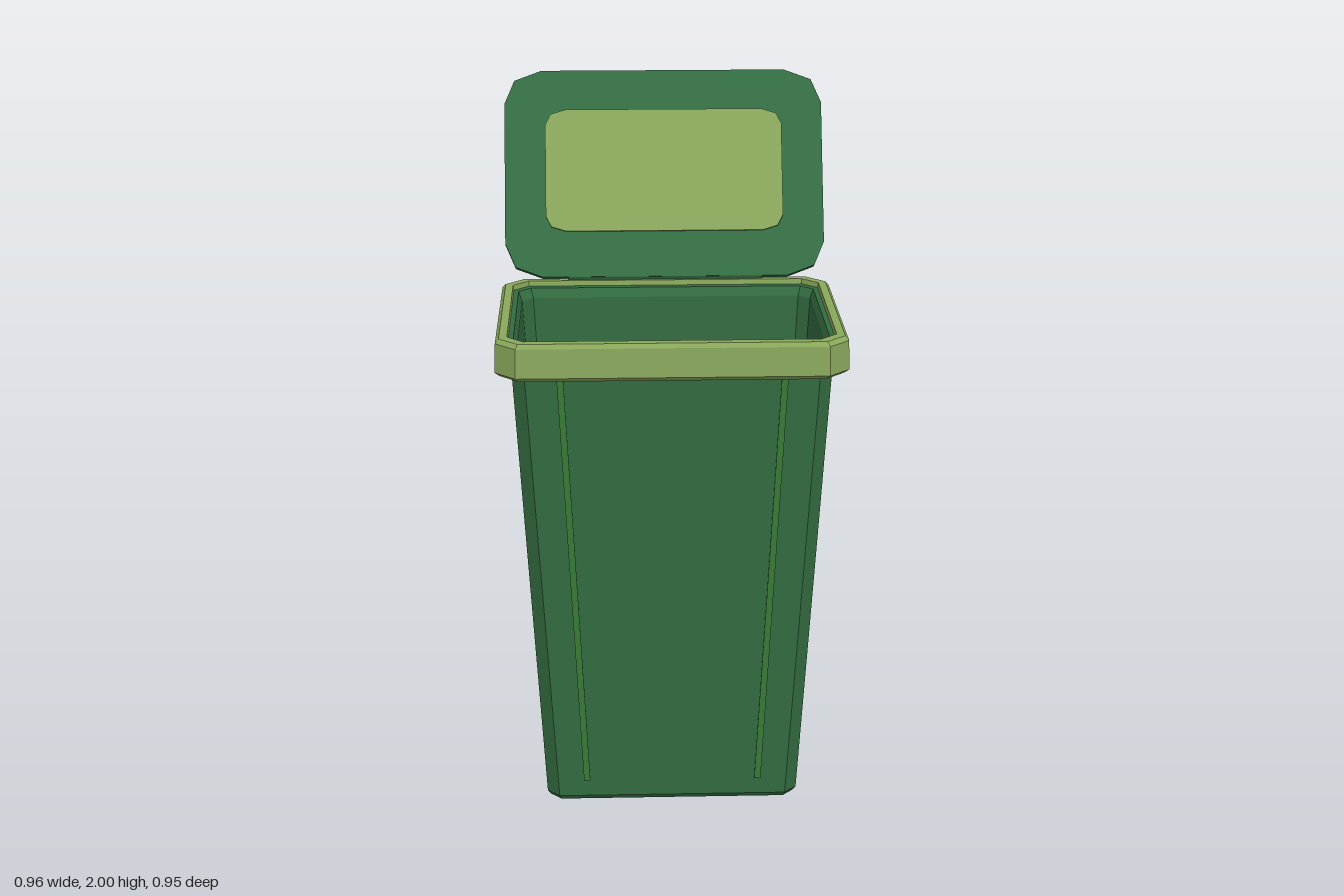
import * as THREE from 'three';

const mat = (color, side = THREE.FrontSide) =>
  new THREE.MeshStandardMaterial({ color, flatShading: true, side });
const GREEN = mat(0x336b40);
const LID_GREEN = mat(0x356f43);
const OLIVE = mat(0x8aa85c);
const RIB = mat(0x377a37);
const DARK = mat(0x234d2e);
const TYRE = mat(0x4a4a4a);
const HUB = mat(0x626262);

function add(parent, name, geometry, material) {
  const mesh = new THREE.Mesh(geometry, material);
  mesh.name = name;
  parent.add(mesh);
  return mesh;
}

// Rectangle with cut corners, running from +x towards +z
function section([y, hx, z0, z1, c]) {
  return [
    [hx, z0 + c], [hx, z1 - c], [hx - c, z1], [c - hx, z1],
    [-hx, z1 - c], [-hx, z0 + c], [c - hx, z0], [hx - c, z0],
  ].map(([x, z]) => [x, y, z]);
}

// Skin a list of [y, halfWidth, zBack, zFront, cornerCut] sections
function loft(sections, capped) {
  const rings = sections.map(section);
  const pos = [];
  const tri = (a, b, c) => pos.push(...a, ...b, ...c);
  for (let r = 0; r < rings.length - 1; r++) {
    const a = rings[r], b = rings[r + 1];
    for (let i = 0; i < 8; i++) {
      const j = (i + 1) % 8;
      tri(a[i], b[i], b[j]);
      tri(a[i], b[j], a[j]);
    }
  }
  if (capped) {
    const first = rings[0], last = rings[rings.length - 1];
    for (let i = 1; i < 7; i++) {
      tri(first[0], first[i], first[i + 1]);
      tri(last[0], last[i + 1], last[i]);
    }
  }
  const g = new THREE.BufferGeometry();
  g.setAttribute('position', new THREE.Float32BufferAttribute(pos, 3));
  g.computeVertexNormals();
  return g;
}

// Plate with two-step cut corners, standing on y = y0
function plate(hx, y0, y1, cx, cy, depth) {
  const corner = [[hx, cy], [hx - cx * 0.27, cy * 0.3], [hx - cx, 0]];
  const pts = [
    ...corner.map(([x, d]) => [x, y1 - d]),
    ...corner.map(([x, d]) => [-x, y1 - d]).reverse(),
    ...corner.map(([x, d]) => [-x, y0 + d]),
    ...corner.map(([x, d]) => [x, y0 + d]).reverse(),
  ].map(([x, y]) => new THREE.Vector2(x, y));
  return new THREE.ExtrudeGeometry(new THREE.Shape(pts), { depth, bevelEnabled: false });
}

export function createModel() {
  const model = new THREE.Group();
  model.name = 'wheeledBin';

  // Tapered hollow body: outside up, over the lip, inside down to the floor
  add(model, 'body', loft([
    [0.045, 0.35, -0.145, 0.43, 0.03],
    [0.06, 0.36, -0.155, 0.44, 0.035],
    [1.33, 0.435, -0.155, 0.44, 0.035],
    [1.4, 0.445, -0.165, 0.436, 0.04],
    [1.415, 0.446, -0.166, 0.437, 0.04],
    [1.415, 0.43, -0.142, 0.412, 0.035],
    [1.39, 0.42, -0.127, 0.398, 0.032],
    [0.1, 0.34, 0.025 - 0.05, 0.3, 0.02],
  ], true), GREEN);

  // Rim band around the mouth
  add(model, 'rim', loft([
    [1.325, 0.43, -0.15, 0.43, 0.035],
    [1.325, 0.468, -0.188, 0.463, 0.055],
    [1.337, 0.48, -0.2, 0.475, 0.057],
    [1.418, 0.478, -0.198, 0.47, 0.056],
    [1.43, 0.468, -0.188, 0.462, 0.053],
    [1.43, 0.446, -0.166, 0.437, 0.045],
    [1.4, 0.442, -0.162, 0.433, 0.04],
    [1.325, 0.43, -0.15, 0.43, 0.035],
  ], false), OLIVE);

  // Slanted ribs on the front, following the taper
  for (const s of [-1, 1]) {
    const rib = new THREE.BoxGeometry(0.018, 1.22, 0.012);
    const p = rib.attributes.position;
    for (let i = 0; i < p.count; i++) {
      p.setX(i, p.getX(i) + s * (0.275 + p.getY(i) * 0.049));
    }
    add(model, s > 0 ? 'leftRib' : 'rightRib', rib, RIB).position.set(0, 0.72, 0.438);
  }

  // Open lid leaning back, with a raised panel on its inner face
  const lid = new THREE.Group();
  lid.name = 'lid';
  lid.position.set(0, 1.432, -0.19);
  lid.rotation.x = -0.445;
  add(lid, 'lidPlate', plate(0.47, 0, 0.62, 0.11, 0.1, 0.03), LID_GREEN).position.z = -0.015;
  add(lid, 'lidPanel', plate(0.35, 0.135, 0.5, 0.06, 0.045, 0.012), OLIVE).position.z = 0.011;
  add(lid, 'hinge', new THREE.BoxGeometry(0.57, 0.025, 0.026), DARK).position.y = 0;
  model.add(lid);

  // Wheels with hubs, each tucked under an arch at the back corners
  const arch = new THREE.Shape([
    [0.055, 0.048], [0.155, 0.048], [0.155, 0.157], [0.1, 0.162], [0.06, 0.13],
  ].map(([x, y]) => new THREE.Vector2(x, y)));
  const wheelProfile = [[0, -0.07], [0.055, -0.07], [0.07, -0.057], [0.07, 0.057], [0.055, 0.07], [0, 0.07]]
    .map(([r, y]) => new THREE.Vector2(r, y));
  for (const s of [-1, 1]) {
    const side = s > 0 ? 'left' : 'right';
    const archGeo = new THREE.ExtrudeGeometry(arch, { depth: 0.15, bevelEnabled: false });
    archGeo.translate(0, 0, -0.075).rotateY(Math.PI / 2);
    add(model, side + 'WheelArch', archGeo, DARK).position.x = s * 0.29;

    const wheel = new THREE.Group();
    wheel.name = side + 'Wheel';
    wheel.position.set(s * 0.297, 0.07, -0.122);
    wheel.rotation.z = -s * Math.PI / 2;
    add(wheel, 'tyre', new THREE.LatheGeometry(wheelProfile, 8), TYRE);
    add(wheel, 'hub', new THREE.CylinderGeometry(0.033, 0.036, 0.148, 8), HUB);
    model.add(wheel);
  }
  return model;
}
